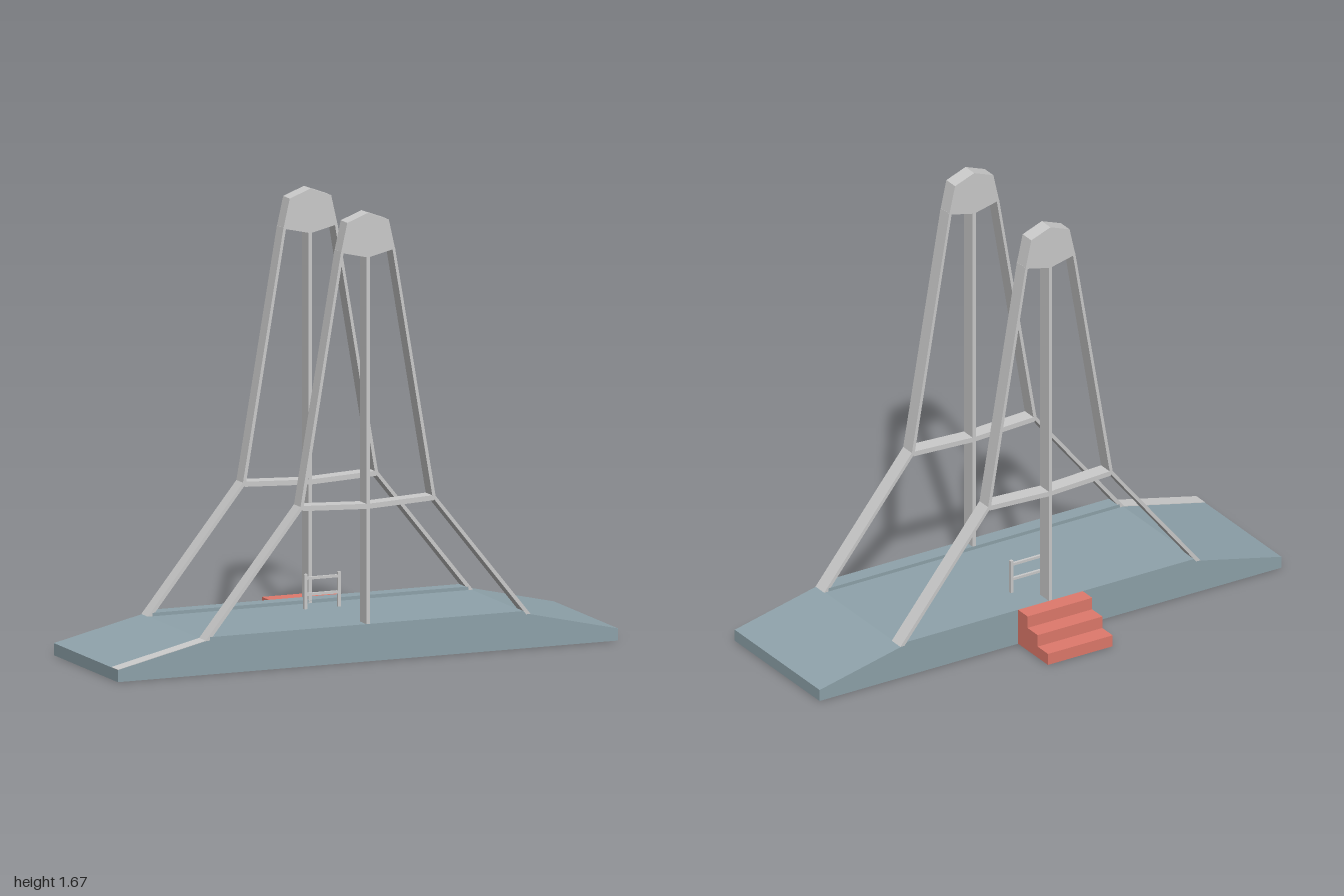
import * as THREE from 'three';

const paint = (color) => new THREE.MeshStandardMaterial({ color, flatShading: true });

export function createModel() {
  const grey = paint(0xcccccc);
  const slate = paint(0x8fa3ab);
  const red = paint(0xe07a6c);
  const model = new THREE.Group();
  const BACK = -0.187, FRONT = 0.39, BEAM = 0.059, DECK = 0.126;

  // Prism with an x-y outline running from z0 over the given depth
  const prism = (name, points, z0, depth, material, parent = model) => {
    const shape = new THREE.Shape(points.map(([x, y]) => new THREE.Vector2(x, y)));
    const geometry = new THREE.ExtrudeGeometry(shape, { depth, bevelEnabled: false });
    const mesh = new THREE.Mesh(geometry, material);
    mesh.name = name;
    mesh.position.z = z0;
    parent.add(mesh);
    return mesh;
  };

  const box = (name, [x0, x1], [y0, y1], [z0, z1], material, parent = model) => {
    const mesh = new THREE.Mesh(new THREE.BoxGeometry(x1 - x0, y1 - y0, z1 - z0), material);
    mesh.name = name;
    mesh.position.set((x0 + x1) / 2, (y0 + y1) / 2, (z0 + z1) / 2);
    parent.add(mesh);
    return mesh;
  };

  // Platform with a ramp at either end
  prism('platform', [
    [-1, 0], [1, 0], [1, 0.045], [0.645, DECK], [-0.645, DECK], [-1, 0.045],
  ], BACK, FRONT - BACK, slate);

  // Pale strip along one edge of a ramp
  prism('rampStrip', [
    [-1, 0.043], [-0.648, 0.123], [-0.648, 0.1275], [-1, 0.0465],
  ], FRONT - BEAM, BEAM, grey);

  // Two tall frames, one along each long edge
  const frames = [['backFrame', BACK], ['frontFrame', FRONT - BEAM]];
  for (const [name, z] of frames) {
    const frame = new THREE.Group();
    frame.name = name;
    frame.position.z = z;
    model.add(frame);

    // Low kerb under the frame
    box('kerb', [-0.632, 0.632], [DECK - 0.01, 0.139], [0, BEAM], slate, frame);

    // Bent legs, mirrored left and right
    for (const s of [1, -1]) {
      const leg = [
        [0.65, DECK], [0.27, 0.595], [0.108, 1.53],
        [0.097, 1.53], [0.258, 0.59], [0.632, DECK],
      ];
      prism(s > 0 ? 'leftLeg' : 'rightLeg', leg.map(([x, y]) => [s * x, y]), 0, BEAM, grey, frame);
    }

    // Shallow V crossbar, central post and faceted cap
    prism('crossbar', [
      [-0.263, 0.598], [-0.263, 0.579], [0, 0.567], [0.263, 0.579], [0.263, 0.598], [0, 0.586],
    ], 0, BEAM, grey, frame);
    box('post', [-0.007, 0.007], [DECK, 1.51], [0, BEAM], grey, frame);
    prism('cap', [
      [-0.108, 1.527], [0, 1.502], [0.108, 1.527], [0.083, 1.637], [0, 1.668], [-0.083, 1.637],
    ], 0, BEAM, grey, frame);
  }

  // Small railing on the deck
  const railing = new THREE.Group();
  railing.name = 'railing';
  model.add(railing);
  for (const x of [-0.063, 0.071]) {
    box('railingPost', [x - 0.006, x + 0.006], [DECK, 0.256], [-0.038, -0.026], grey, railing);
  }
  for (const y of [0.18, 0.24]) {
    box('railingBar', [-0.063, 0.071], [y - 0.005, y + 0.005], [-0.037, -0.027], grey, railing);
  }

  // Three steps at the back: profile in z-y, turned to run along x
  const steps = prism('steps', [
    [-0.187, 0], [-0.187, 0.139], [-0.251, 0.139], [-0.251, 0.092],
    [-0.32, 0.092], [-0.32, 0.045], [-0.39, 0.045], [-0.39, 0],
  ], 0, 0.28, red);
  steps.rotation.y = -Math.PI / 2;
  steps.position.x = 0.14;

  return model;
}
